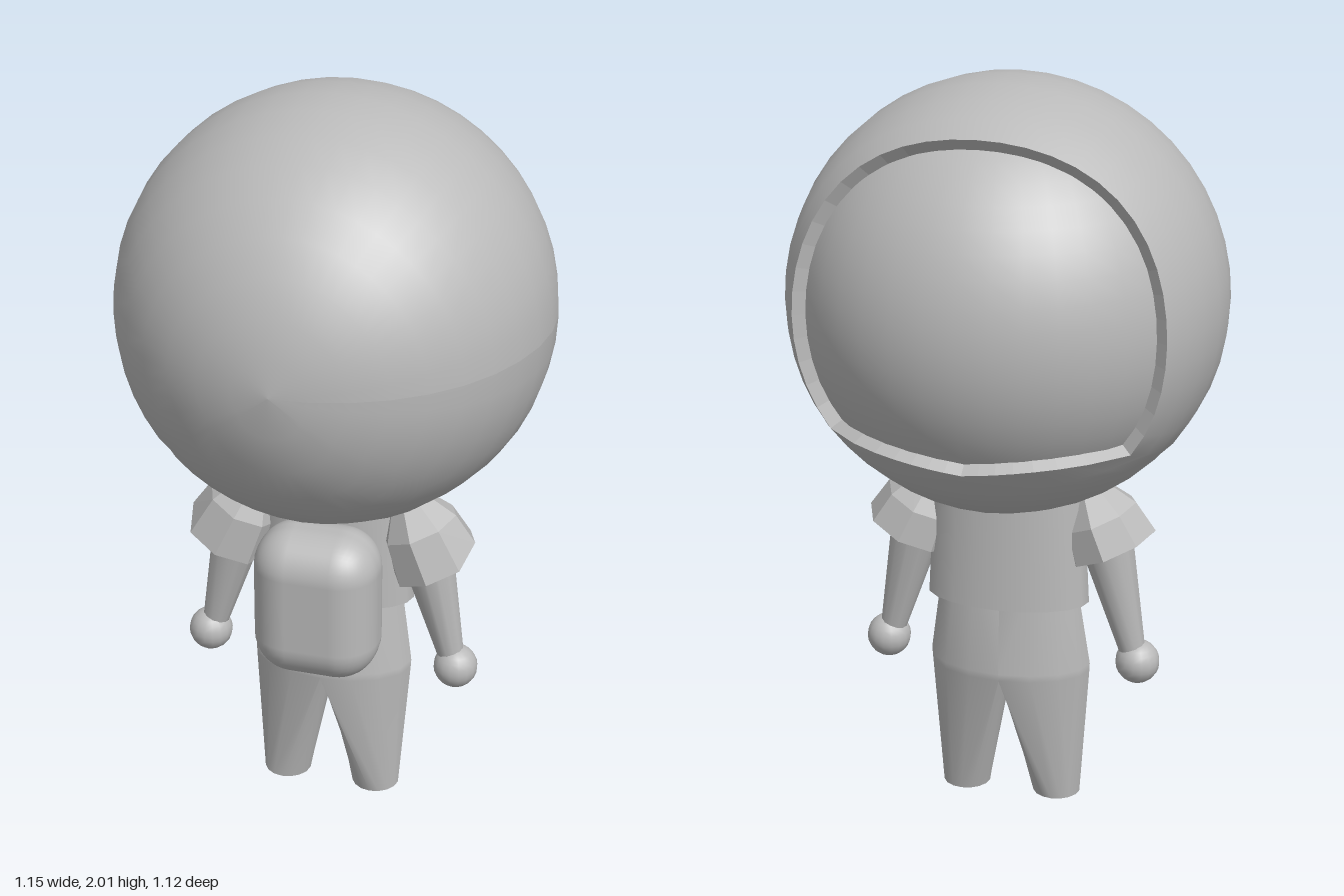
import * as THREE from 'three';
import { RoundedBoxGeometry } from 'three/addons/geometries/RoundedBoxGeometry.js';

// Surface through rows of points; each row closes on itself when its ends coincide
function loft(rows) {
  const n = rows[0].length, pos = rows.flat().flat(), idx = [];
  for (let j = 0; j < rows.length - 1; j++) {
    for (let i = 0; i < n - 1; i++) {
      const a = j * n + i, b = a + 1, c = a + n, d = c + 1;
      idx.push(a, c, b, b, c, d);
    }
  }
  const g = new THREE.BufferGeometry();
  g.setAttribute('position', new THREE.Float32BufferAttribute(pos, 3));
  g.setIndex(idx);
  g.computeVertexNormals();
  return g;
}

const HEAD_Y = 1.435;

// Angle from the -z axis at which the helmet opening ends, for each direction round it
function openingAngle(phi) {
  const s = Math.sin(phi), c = Math.abs(Math.cos(phi));
  const corner = THREE.MathUtils.degToRad(37.5);
  if (s < -Math.sin(corner) - 1e-4) {
    const sill = 0.33 - 0.031 * c / Math.cos(corner);
    return Math.asin(Math.min(0.84, sill / (0.585 * -s)));
  }
  return Math.acos(0.556 + 0.017 * Math.cos(4 * phi));
}

function helmetRow(t, radius) {
  const row = [];
  for (let i = 0; i <= 48; i++) {
    const phi = i / 48 * Math.PI * 2;
    const th = THREE.MathUtils.lerp(openingAngle(phi), Math.PI, t);
    const r = radius(t);
    row.push([r * Math.sin(th) * Math.cos(phi), HEAD_Y + r * Math.sin(th) * Math.sin(phi), -r * Math.cos(th)]);
  }
  return row;
}

// Half of the trousers: D-shaped rings at the hip, a round one at the foot
function legRing(y, rx, rz, cz) {
  const row = [];
  for (let i = 0; i <= 16; i++) {
    const a = i / 16 * Math.PI * 2;
    row.push([Math.max(0, rx * Math.cos(a)), y, cz + rz * Math.sin(a)]);
  }
  return row;
}
function footRing(r) {
  const row = [];
  for (let i = 0; i <= 16; i++) {
    const a = i / 16 * Math.PI * 2;
    row.push([0.128 + r * Math.cos(a), 0, 0.02 + r * Math.sin(a)]);
  }
  return row;
}

export function createModel() {
  const model = new THREE.Group();
  const grey = new THREE.MeshStandardMaterial({ color: 0xbababa, side: THREE.DoubleSide });
  grey.name = 'plain grey';
  const faceted = new THREE.MeshStandardMaterial({ color: 0xbababa, side: THREE.DoubleSide, flatShading: true });
  faceted.name = 'plain grey faceted';

  function add(name, geometry, parent = model, material = grey) {
    const mesh = new THREE.Mesh(geometry, material);
    mesh.name = name;
    parent.add(mesh);
    return mesh;
  }

  // Head inside the helmet
  add('head', new THREE.SphereGeometry(0.55, 40, 28)).position.y = HEAD_Y;

  // Helmet: outer shell, slightly flared towards the opening, and its rim
  const outer = t => 0.565 + 0.02 * Math.max(0, 1 - t * 2.2);
  const steps = [0, 0.06, 0.12, 0.2, 0.28, 0.36, 0.44, 0.52, 0.6, 0.68, 0.76, 0.84, 0.92, 1];
  add('helmetShell', loft(steps.map(t => helmetRow(t, outer))));
  add('helmetRim', loft([helmetRow(0, () => 0.543), helmetRow(0, outer)]), model, faceted);

  // Shirt
  const shirt = new THREE.CylinderGeometry(0.205, 0.222, 0.33, 20);
  shirt.scale(1, 1, 0.53);
  shirt.translate(0, 0.755, -0.015);
  add('shirt', shirt);

  // Backpack
  const pack = new RoundedBoxGeometry(0.34, 0.425, 0.24, 5, 0.11);
  pack.translate(0, 0.643, 0.15);
  add('backpack', pack);

  // Limbs, built on the +x side and mirrored
  for (const side of [1, -1]) {
    const half = new THREE.Group();
    half.name = side > 0 ? 'leftLimbs' : 'rightLimbs';
    half.scale.x = side;
    model.add(half);

    add('trouserLeg', loft([
      legRing(0.62, 0.19, 0.108, -0.008),
      legRing(0.4, 0.222, 0.133, 0.004),
      legRing(0.38, 0.221, 0.131, 0.005),
      footRing(0.065),
    ]), half);
    add('footSole', loft([footRing(0.065), footRing(0)]), half, faceted);

    // Arm tapering to a ball hand
    const from = new THREE.Vector3(0.245, 0.83, 0.015), to = new THREE.Vector3(0.338, 0.44, 0.018);
    const arm = add('arm', new THREE.CylinderGeometry(0.082, 0.035, from.distanceTo(to), 12), half);
    arm.position.copy(from).lerp(to, 0.5);
    arm.quaternion.setFromUnitVectors(new THREE.Vector3(0, 1, 0), from.clone().sub(to).normalize());
    const hand = add('hand', new THREE.SphereGeometry(0.06, 16, 12), half);
    hand.position.set(0.35, 0.415, 0.02);

    // Faceted sleeve cap with an uneven hem
    const profile = [[0.125, 0], [0.107, 0.09], [0.06, 0.16], [0, 0.17]].map(p => new THREE.Vector2(...p));
    const cap = new THREE.LatheGeometry(profile, 8);
    const p = cap.attributes.position;
    for (let i = 0; i < p.count; i++) {
      if (p.getY(i) < 0.01 && p.getZ(i) > 0.05) p.setY(i, -0.03);
    }
    cap.computeVertexNormals();
    const sleeve = add('sleeve', cap, half, faceted);
    sleeve.position.set(0.28, 0.75, 0.015);
    sleeve.rotation.z = 0.43;
  }
  return model;
}
